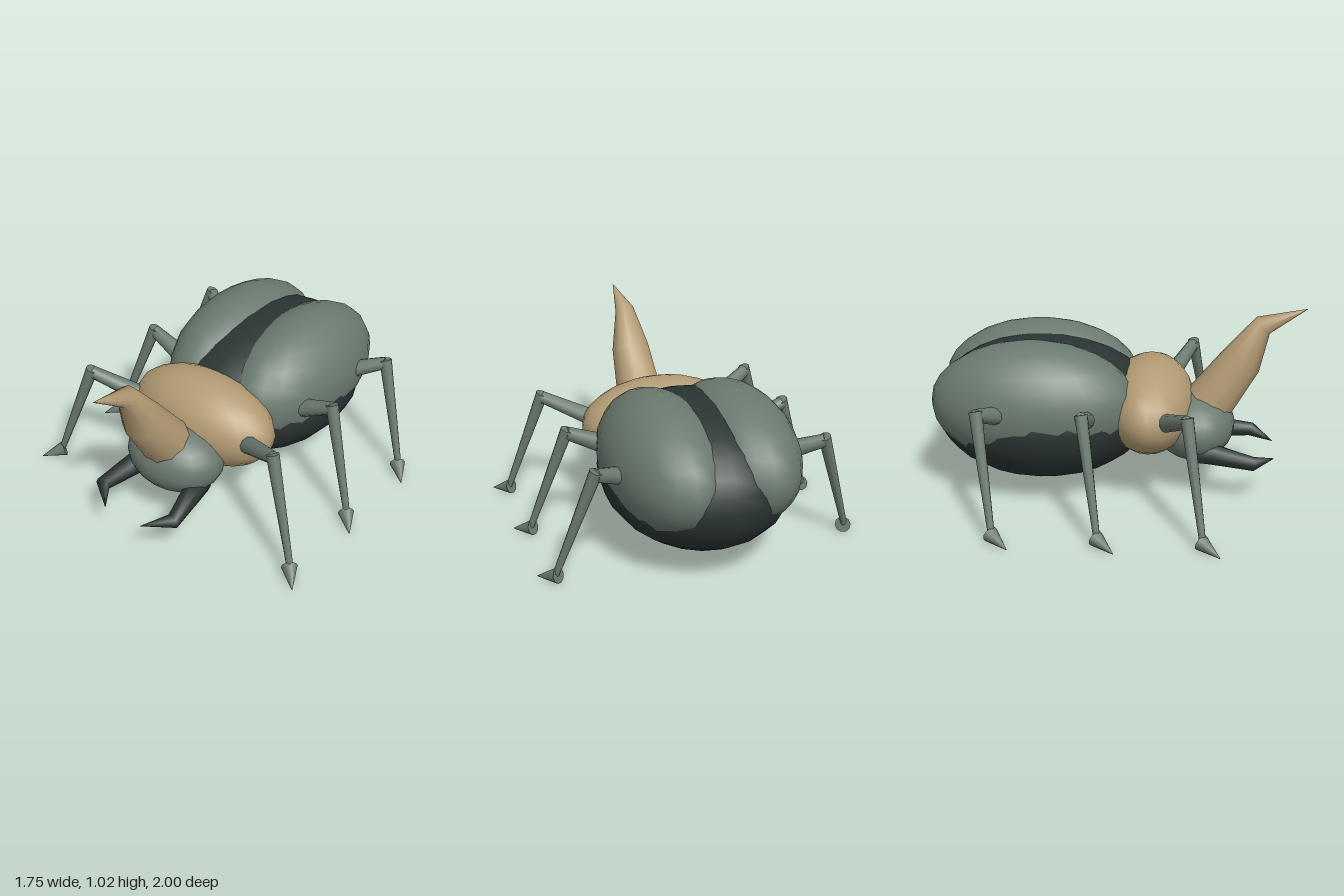
import * as THREE from 'three';

const mat = (name, color) => {
  const m = new THREE.MeshStandardMaterial({ color });
  m.name = name;
  return m;
};
const V = (x, y, z) => new THREE.Vector3(x, y, z);

export function createModel() {
  const shell = mat('greyGreenShell', 0x6b7a70);
  const tan = mat('tanShell', 0xb39b74);
  const dark = mat('darkBody', 0x2a3533);
  const beetle = new THREE.Group();
  beetle.name = 'beetle';

  const add = (name, geometry, material, parent = beetle) => {
    const mesh = new THREE.Mesh(geometry, material);
    mesh.name = name;
    parent.add(mesh);
    return mesh;
  };

  // Ellipsoid from centre and radii
  const ellipsoid = (name, c, r, material) => {
    const g = new THREE.SphereGeometry(1, 20, 14);
    g.scale(...r);
    g.translate(...c);
    return add(name, g, material);
  };

  // Tapered round limb between two points
  const limb = (name, a, b, ra, rb, material, parent) => {
    const d = b.clone().sub(a);
    const g = new THREE.CylinderGeometry(rb, ra, d.length(), 10);
    g.applyQuaternion(new THREE.Quaternion().setFromUnitVectors(V(0, 1, 0), d.clone().normalize()));
    const mid = a.clone().add(b).multiplyScalar(0.5);
    g.translate(mid.x, mid.y, mid.z);
    return add(name, g, material, parent);
  };

  // Curved spike: rings round each point, with a tilted ring axis u, v
  const spike = (name, points, radii, side, material, sides = 10) => {
    const pos = [], idx = [];
    points.forEach((p, i) => {
      const t = points[Math.min(i + 1, points.length - 1)].clone()
        .sub(points[Math.max(i - 1, 0)]).normalize();
      const v = t.clone().cross(side).normalize();
      const u = v.clone().cross(t).normalize();
      for (let j = 0; j < sides; j++) {
        const a = (j / sides) * Math.PI * 2;
        const q = p.clone().addScaledVector(u, Math.cos(a) * radii[i])
          .addScaledVector(v, Math.sin(a) * radii[i]);
        pos.push(q.x, q.y, q.z);
        if (i) {
          const k = (j + 1) % sides, lo = (i - 1) * sides, hi = i * sides;
          idx.push(lo + j, hi + j, lo + k, lo + k, hi + j, hi + k);
        }
      }
    });
    // u x v points against t, so the loops above face outward
    const g = new THREE.BufferGeometry();
    g.setAttribute('position', new THREE.Float32BufferAttribute(pos, 3));
    const cross = V(0, 0, 0);
    const A = V(...pos.slice(0, 3)), B = V(...pos.slice(sides * 3, sides * 3 + 3)), C = V(...pos.slice(3, 6));
    cross.crossVectors(B.sub(A), C.sub(A));
    if (cross.dot(A.clone().sub(points[0])) < 0) idx.reverse();
    g.setIndex(idx);
    g.computeVertexNormals();
    return add(name, g, material);
  };

  // Body
  ellipsoid('abdomen', [0, 0.45, -0.4], [0.5, 0.383, 0.6], dark);
  ellipsoid('thorax', [0, 0.475, 0.18], [0.44, 0.247, 0.24], tan);
  ellipsoid('head', [0, 0.365, 0.42], [0.28, 0.19, 0.22], shell);

  // Horn rising from the head and bending forward
  spike('horn',
    [V(0, 0.49, 0.5), V(0, 0.732, 0.668), V(0, 0.928, 0.772), V(0, 1.022, 1)],
    [0.135, 0.11, 0.056, 0.001], V(1, 0, 0), tan);

  for (const s of [1, -1]) {
    const label = s > 0 ? 'left' : 'right';
    ellipsoid(label + 'WingCase', [0.2 * s, 0.53, -0.43], [0.302, 0.336, 0.55], shell);

    // Jaw, hooked inward
    spike(label + 'Jaw',
      [V(0.18 * s, 0.265, 0.44), V(0.2 * s, 0.26, 0.54), V(0.24 * s, 0.233, 0.74), V(0.12 * s, 0.215, 0.855)],
      [0.062, 0.058, 0.04, 0.001], V(0, 1, 0), dark, 8);

    // Legs: hip point and knee depth for each pair
    const legs = [
      ['Front', V(0.34, 0.49, 0.265), 0.395],
      ['Middle', V(0.43, 0.53, -0.13), -0.13],
      ['Hind', V(0.43, 0.54, -0.57), -0.66],
    ];
    for (const [pair, hip, kz] of legs) {
      const leg = new THREE.Group();
      leg.name = label + pair + 'Leg';
      beetle.add(leg);
      const knee = V(0.61 * s, 0.61, kz);
      const ankle = V(0.8 * s, 0.05, kz + 0.095);
      hip.x *= s;
      limb('thigh', hip, knee, 0.05, 0.034, shell, leg);
      limb('shin', V(0.605 * s, 0.63, kz), ankle, 0.034, 0.017, shell, leg);
      limb('foot', V(0.79 * s, 0.047, kz + 0.087), V(0.875 * s, 0.008, kz + 0.182), 0.043, 0.002, shell, leg);
    }
  }
  return beetle;
}
